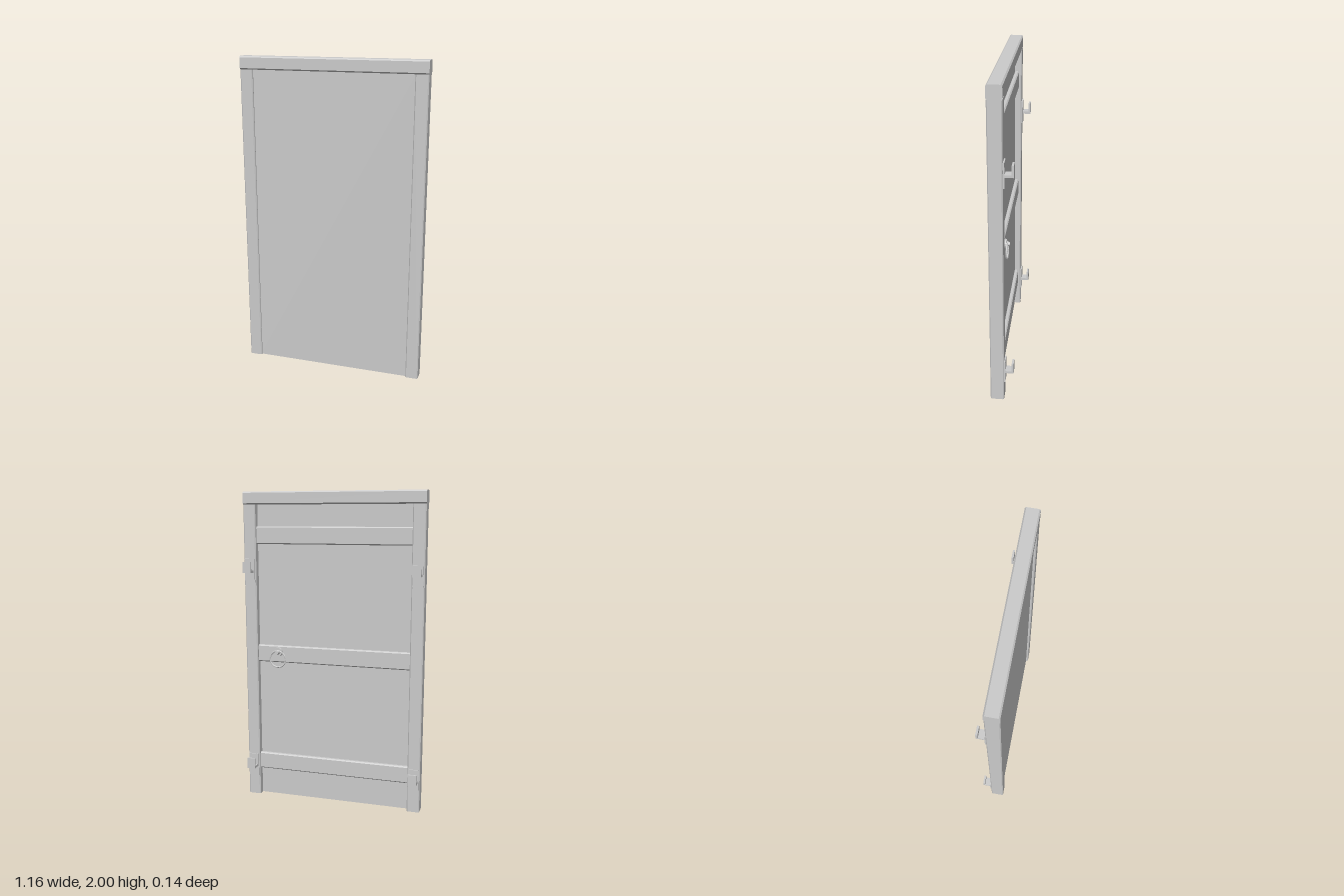
import * as THREE from 'three';

const material = new THREE.MeshStandardMaterial({ color: 0xcccccc, flatShading: true });

function add(parent, name, geometry, x = 0, y = 0, z = 0) {
  const mesh = new THREE.Mesh(geometry, material);
  mesh.name = name;
  mesh.position.set(x, y, z);
  parent.add(mesh);
  return mesh;
}

// Bar along z with chamfered long edges, centred on the origin
function bar(w, h, length, c) {
  const a = w / 2, b = h / 2;
  const shape = new THREE.Shape([
    [-a + c, -b], [a - c, -b], [a, -b + c], [a, b - c],
    [a - c, b], [-a + c, b], [-a, b - c], [-a, -b + c],
  ].map(([x, y]) => new THREE.Vector2(x, y)));
  return new THREE.ExtrudeGeometry(shape, { depth: length, bevelEnabled: false }).translate(0, 0, -length / 2);
}

// L-shaped hanging hook on a mounting plate, pointing to -z
function bracket(x, y) {
  const group = new THREE.Group();
  group.name = 'hangingBracket';
  group.position.set(x, y, 0);
  add(group, 'bracketPlate', new THREE.BoxGeometry(0.066, 0.15, 0.01), 0, 0, -0.017);
  const profile = new THREE.Shape([
    [0.018, -0.012], [0.072, -0.012], [0.072, 0.058],
    [0.06, 0.058], [0.06, 0.003], [0.018, 0.003],
  ].map(([px, py]) => new THREE.Vector2(px, py)));
  const hook = new THREE.ExtrudeGeometry(profile, { depth: 0.054, bevelEnabled: false });
  hook.translate(0, 0, -0.027).rotateY(Math.PI / 2);
  add(group, 'bracketHook', hook);
  return group;
}

export function createModel() {
  const model = new THREE.Group();
  model.name = 'door';

  // Door leaf
  add(model, 'panel', new THREE.BoxGeometry(1.02, 1.93, 0.028), 0, 0.965, 0.042);

  // Side posts and top beam
  for (const s of [-1, 1]) {
    add(model, 'sidePost', bar(0.08, 0.084, 1.92, 0.006).rotateX(-Math.PI / 2), s * 0.541, 0.96, 0.028);
  }
  add(model, 'topBeam', bar(0.086, 0.08, 1.164, 0.008).rotateY(Math.PI / 2), 0, 1.96, 0.028);

  // Cross rails on the back
  for (const y of [0.235, 0.97, 1.73]) {
    add(model, 'crossRail', bar(0.03, 0.11, 1.01, 0.007).rotateY(Math.PI / 2), 0, y, 0.018);
  }

  // Brackets on both posts
  for (const s of [-1, 1]) {
    for (const y of [0.208, 1.507]) model.add(bracket(s * 0.541, y));
  }

  // Ring handle
  const handle = new THREE.Group();
  handle.name = 'ringHandle';
  handle.position.set(0.362, 0.985, 0);
  model.add(handle);
  add(handle, 'handlePlate', new THREE.CylinderGeometry(0.028, 0.03, 0.016, 16).rotateX(-Math.PI / 2), 0, 0, -0.003);
  add(handle, 'handleStud', new THREE.CylinderGeometry(0.01, 0.016, 0.02, 12).rotateX(-Math.PI / 2), 0, 0, -0.02);
  add(handle, 'handleRing', new THREE.TorusGeometry(0.053, 0.005, 8, 28), 0, -0.045, -0.013);

  return model;
}
